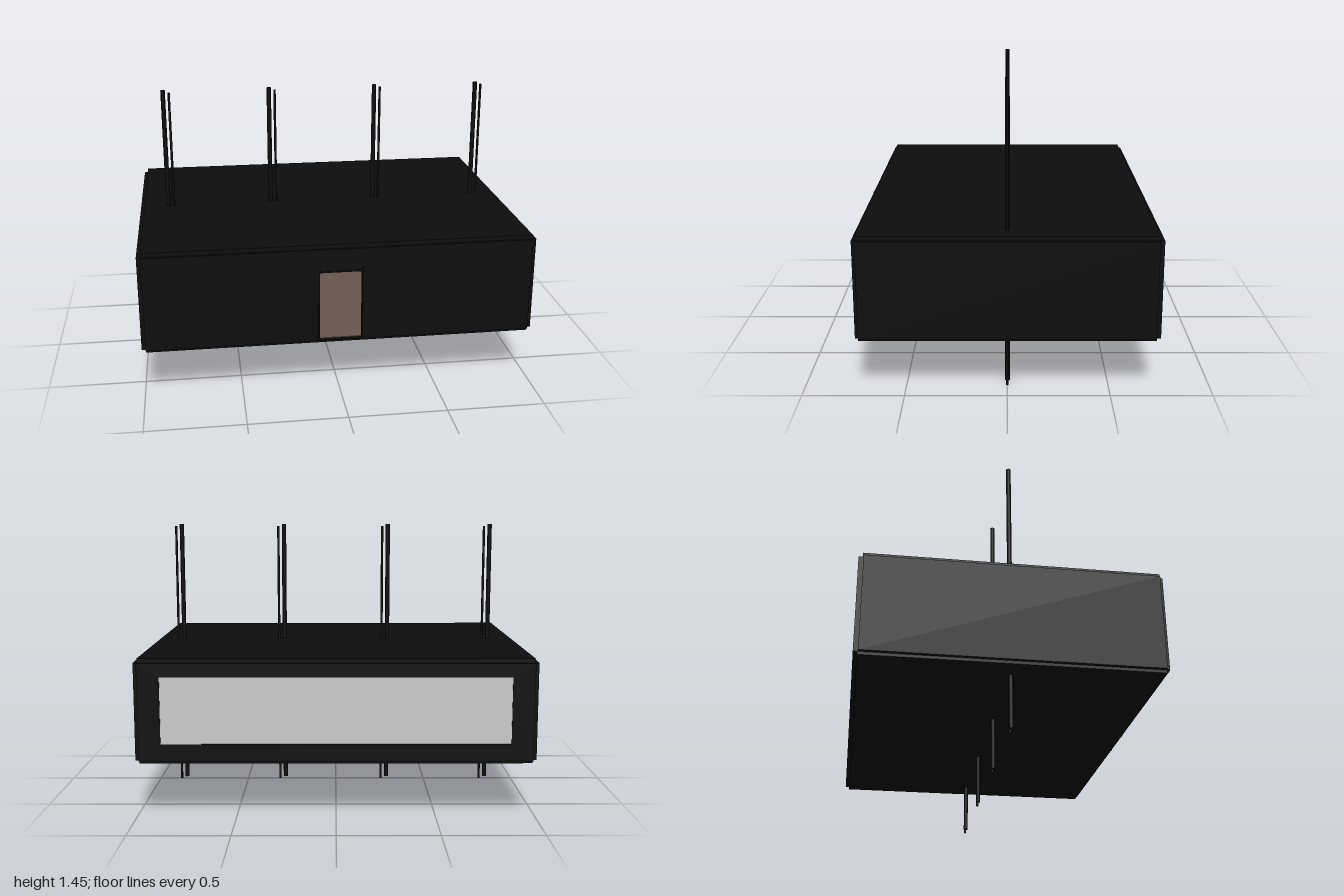
import * as THREE from 'three';

const mat = (name, color) => {
  const m = new THREE.MeshStandardMaterial({ color });
  m.name = name;
  return m;
};

export function createModel() {
  const root = new THREE.Group();
  root.name = 'suspendedCabin';
  const black = mat('black cladding', 0x0d0d0d);
  const brown = mat('brown lining', 0x66574c);
  const glass = mat('pale glass', 0xcbcbcb);
  const dark = mat('dark wood', 0x443a35);
  const leafGreen = mat('dark leaf', 0x141612);
  leafGreen.side = THREE.DoubleSide;

  // Box given by its opposite corners
  const box = (name, material, x0, x1, y0, y1, z0, z1, parent = root) => {
    const mesh = new THREE.Mesh(new THREE.BoxGeometry(x1 - x0, y1 - y0, z1 - z0), material);
    mesh.position.set((x0 + x1) / 2, (y0 + y1) / 2, (z0 + z1) / 2);
    mesh.name = name;
    parent.add(mesh);
    return mesh;
  };

  // Wall sheet with one rectangular opening
  const wall = (name, hx0, hx1, hy0, hy1, z) => {
    const s = new THREE.Shape();
    s.moveTo(-0.98, 0.293).lineTo(0.98, 0.293).lineTo(0.98, 0.785).lineTo(-0.98, 0.785).closePath();
    const h = new THREE.Path();
    h.moveTo(hx0, hy0).lineTo(hx0, hy1).lineTo(hx1, hy1).lineTo(hx1, hy0).closePath();
    s.holes.push(h);
    const mesh = new THREE.Mesh(new THREE.ExtrudeGeometry(s, { depth: 0.028, bevelEnabled: false }), black);
    mesh.position.z = z;
    mesh.name = name;
    root.add(mesh);
  };

  // Shell
  box('roof', black, -0.98, 0.98, 0.78, 0.807, -0.718, 0.718);
  box('floorSlab', black, -0.98, 0.98, 0.278, 0.296, -0.718, 0.718);
  wall('frontWall', -0.11, 0.107, 0.297, 0.664, 0.704);
  wall('backWall', -0.87, 0.87, 0.38, 0.717, -0.738);
  for (const s of [-1, 1]) {
    const side = box('sideWall', black, -0.014, 0.014, 0.293, 0.785, -0.715, 0.715);
    side.position.x = s * 0.986;
    box('sideLining', brown, -0.003, 0.003, 0.3, 0.78, -0.7, 0.7).position.x = s * 0.969;
  }

  // Interior lining
  box('floorLining', brown, -0.97, 0.97, 0.296, 0.3, -0.708, 0.715);
  box('backLining', brown, -0.97, 0.97, 0.3, 0.38, -0.71, -0.704);

  // Doorway surround
  for (const s of [-1, 1]) {
    box('doorJamb', black, -0.004, 0.004, 0.295, 0.664, 0.7, 0.738).position.x = s * 0.113;
    box('headerSeam', black, -0.003, 0.003, 0.664, 0.785, 0.73, 0.735).position.x = s * 0.115;
  }
  box('doorHeader', black, -0.117, 0.117, 0.664, 0.672, 0.7, 0.736);

  // Long rear window with bars on the inside
  box('rearWindow', glass, -0.87, 0.87, 0.38, 0.717, -0.734, -0.728);
  box('windowRail', dark, -0.87, 0.87, 0.524, 0.532, -0.724, -0.714);
  for (const x of [-0.58, 0, 0.58]) {
    box('windowBar', dark, x - 0.009, x + 0.009, 0.38, 0.717, -0.724, -0.712);
  }
  box('ceilingLight', glass, -0.09, 0.09, 0.643, 0.66, -0.06, 0.06);
  box('ceilingLightStem', dark, -0.006, 0.006, 0.66, 0.78, -0.006, 0.006);

  // Small pedestal table
  const table = new THREE.Group();
  table.name = 'table';
  const disc = (r, h, y) => {
    const m = new THREE.Mesh(new THREE.CylinderGeometry(r, r, h, 16), dark);
    m.position.set(0.025, y, -0.3);
    table.add(m);
  };
  disc(0.027, 0.006, 0.35);
  disc(0.004, 0.05, 0.325);
  disc(0.016, 0.004, 0.302);
  root.add(table);

  // Potted plant beside the door
  const plant = new THREE.Group();
  plant.name = 'plant';
  plant.position.set(-0.09, 0.3, 0.3);
  const pot = new THREE.Mesh(new THREE.CylinderGeometry(0.025, 0.018, 0.05, 12), black);
  pot.position.y = 0.025;
  plant.add(pot);
  for (let i = 0; i < 9; i++) {
    const leaf = new THREE.Mesh(new THREE.ConeGeometry(0.006, 0.07, 4).translate(0, 0.035, 0), leafGreen);
    leaf.position.y = 0.045;
    leaf.rotation.set(0, i * 2.4, -0.15 - 0.06 * (i % 4), 'YXZ');
    plant.add(leaf);
  }
  root.add(plant);

  // Four pairs of vertical poles passing through the cabin
  const pole = (name, x, r, y0, y1) => {
    const m = new THREE.Mesh(new THREE.CylinderGeometry(r, r, y1 - y0, 16), black);
    m.position.set(x, (y0 + y1) / 2, 0);
    m.name = name;
    root.add(m);
  };
  for (const x of [-0.849, -0.287, 0.286, 0.849]) {
    pole('thickPole', x, 0.012, 0.013, 1.445);
    pole('thinPole', x + 0.031, 0.0065, 0, 1.432);
  }
  return root;
}
